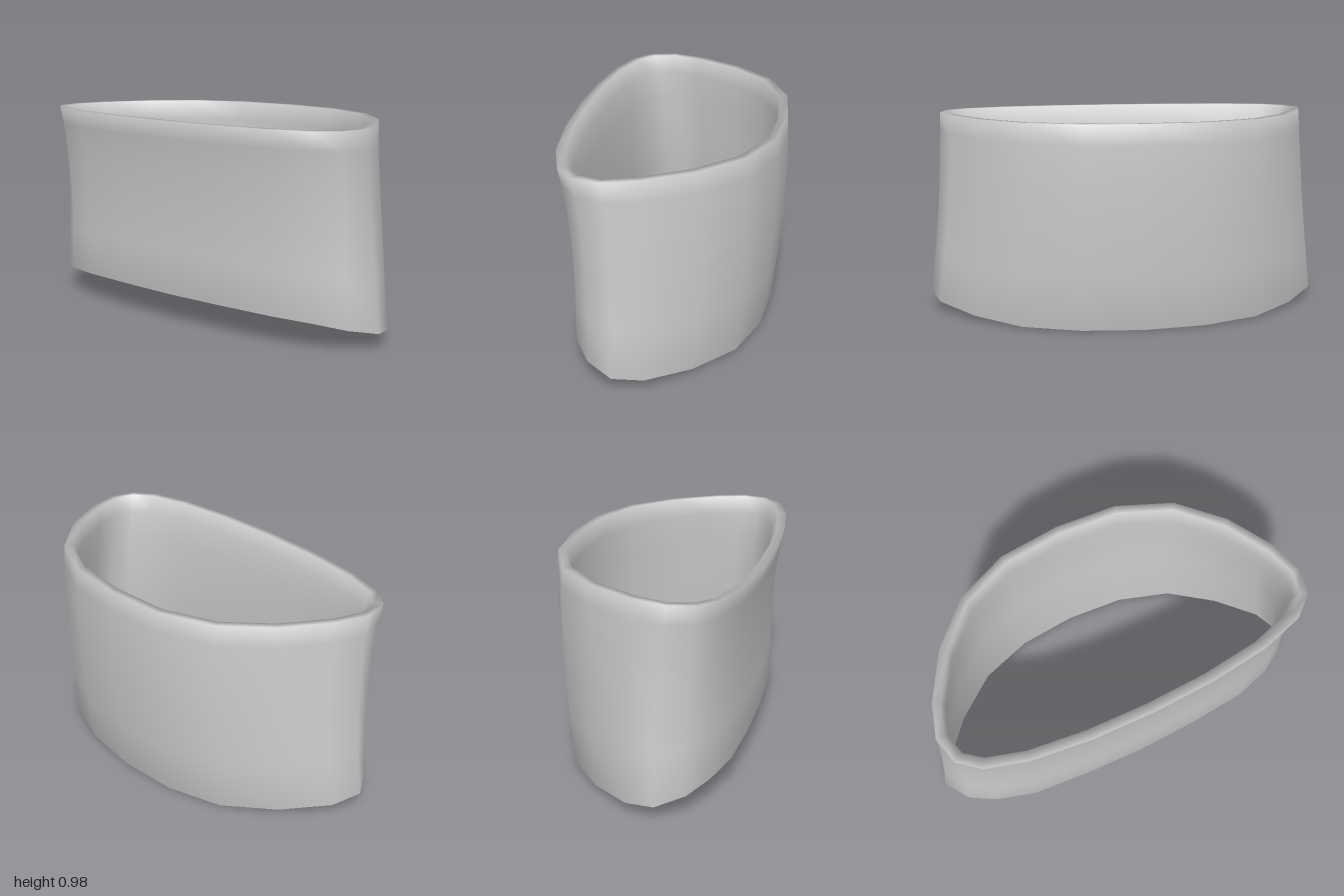
import * as THREE from 'three';

// Half outlines [x, z] from the +x side round to the -x side; bottom also has y
const TOP = [[0.505, 0], [0.48, 0.3], [0.37, 0.56], [0.18, 0.75], [-0.04, 0.88], [-0.2, 0.93],
  [-0.33, 0.9], [-0.415, 0.8], [-0.475, 0.6], [-0.51, 0.31], [-0.52, 0]];
const BOTTOM = [[0.455, 0, 0], [0.43, 0.3, 0.003], [0.34, 0.57, 0.008], [0.17, 0.79, 0.024], [-0.02, 0.955, 0.05],
  [-0.16, 1.0, 0.073], [-0.285, 0.92, 0.1], [-0.365, 0.79, 0.125], [-0.425, 0.6, 0.137], [-0.45, 0.31, 0.14], [-0.46, 0, 0.14]];
const HEIGHT = 0.98;

// Wall section: [height fraction, inset], up the outside and down the inside
const SECTION = [[0, 0], [0.25, 0], [0.5, 0], [0.74, 0], [0.9, 0], [1, 0],
  [1, 0.04], [0.9, 0.055], [0.74, 0.052], [0.45, 0.045], [0, 0.035]];

// Complete a half outline with its mirror image in z
const mirror = (half) => [...half, ...half.slice(1, -1).reverse().map(([x, z, y]) => [x, -z, y])];

function ring(top, bottom, t, inset) {
  const bow = 0.075 * t * (1 - t) + 0.006 * Math.sin(Math.PI * t * t);
  const pts = top.map(([tx, tz], i) => {
    const [bx, bz, by] = bottom[i];
    return new THREE.Vector3(
      THREE.MathUtils.lerp(bx, tx, t) + bow,
      THREE.MathUtils.lerp(by, HEIGHT, t),
      THREE.MathUtils.lerp(bz, tz, t) * (1 - 0.06 * t * (1 - t)));
  });
  const n = pts.length;
  // Inset each point along the outline's inward normal
  return pts.map((p, i) => {
    const d = pts[(i + 1) % n].clone().sub(pts[(i + n - 1) % n]).setY(0).normalize();
    return new THREE.Vector3(p.x - d.z * inset, p.y, p.z + d.x * inset);
  });
}

export function createModel() {
  const top = mirror(TOP), bottom = mirror(BOTTOM);
  const n = top.length, m = SECTION.length;
  const points = SECTION.flatMap(([t, inset]) => ring(top, bottom, t, inset));

  // Closed loop of quads around the wall section and the outline
  const index = [];
  for (let j = 0; j < m; j++) {
    for (let i = 0; i < n; i++) {
      const j2 = (j + 1) % m, i2 = (i + 1) % n;
      const a = j * n + i, b = j2 * n + i, c = j2 * n + i2, d = j * n + i2;
      index.push(a, b, c, a, c, d);
    }
  }
  const geometry = new THREE.BufferGeometry().setFromPoints(points);
  geometry.setIndex(index);
  geometry.computeVertexNormals();

  const band = new THREE.Mesh(geometry, new THREE.MeshStandardMaterial({ color: 0xcccccc }));
  band.name = 'band';
  const group = new THREE.Group();
  group.name = 'cuff';
  group.add(band);
  return group;
}
